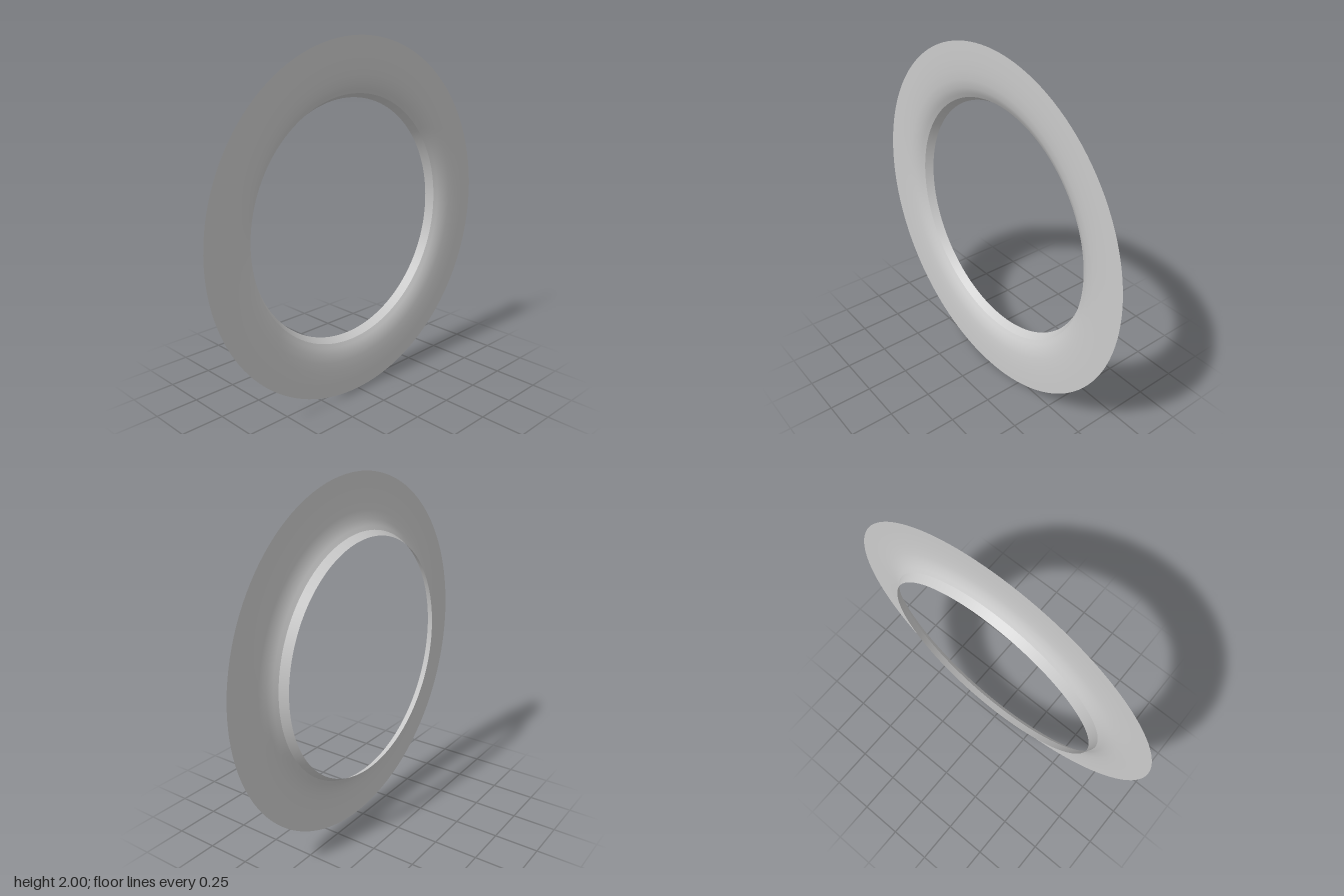
import * as THREE from 'three';

export function createModel() {
  const model = new THREE.Group();
  const material = new THREE.MeshStandardMaterial({ color: 0xcccccc, side: THREE.DoubleSide });

  // Thin sheet turned around the x axis; profile pairs are [radius, x]
  const turned = (name, profile) => {
    const geometry = new THREE.LatheGeometry(profile.map(([r, x]) => new THREE.Vector2(r, x)), 128);
    geometry.rotateZ(-Math.PI / 2);
    const mesh = new THREE.Mesh(geometry, material);
    mesh.name = name;
    mesh.position.y = 1;
    model.add(mesh);
  };

  // Short tapered collar around the opening
  turned('innerLip', [[0.675, -0.044], [0.7, 0]]);

  // Flare that sweeps out from the collar into a flat rim
  turned('flaredFlange', [
    [0.7, 0], [0.722, 0.013], [0.755, 0.03], [0.8, 0.037],
    [0.85, 0.042], [0.92, 0.044], [1, 0.044],
  ]);

  return model;
}
